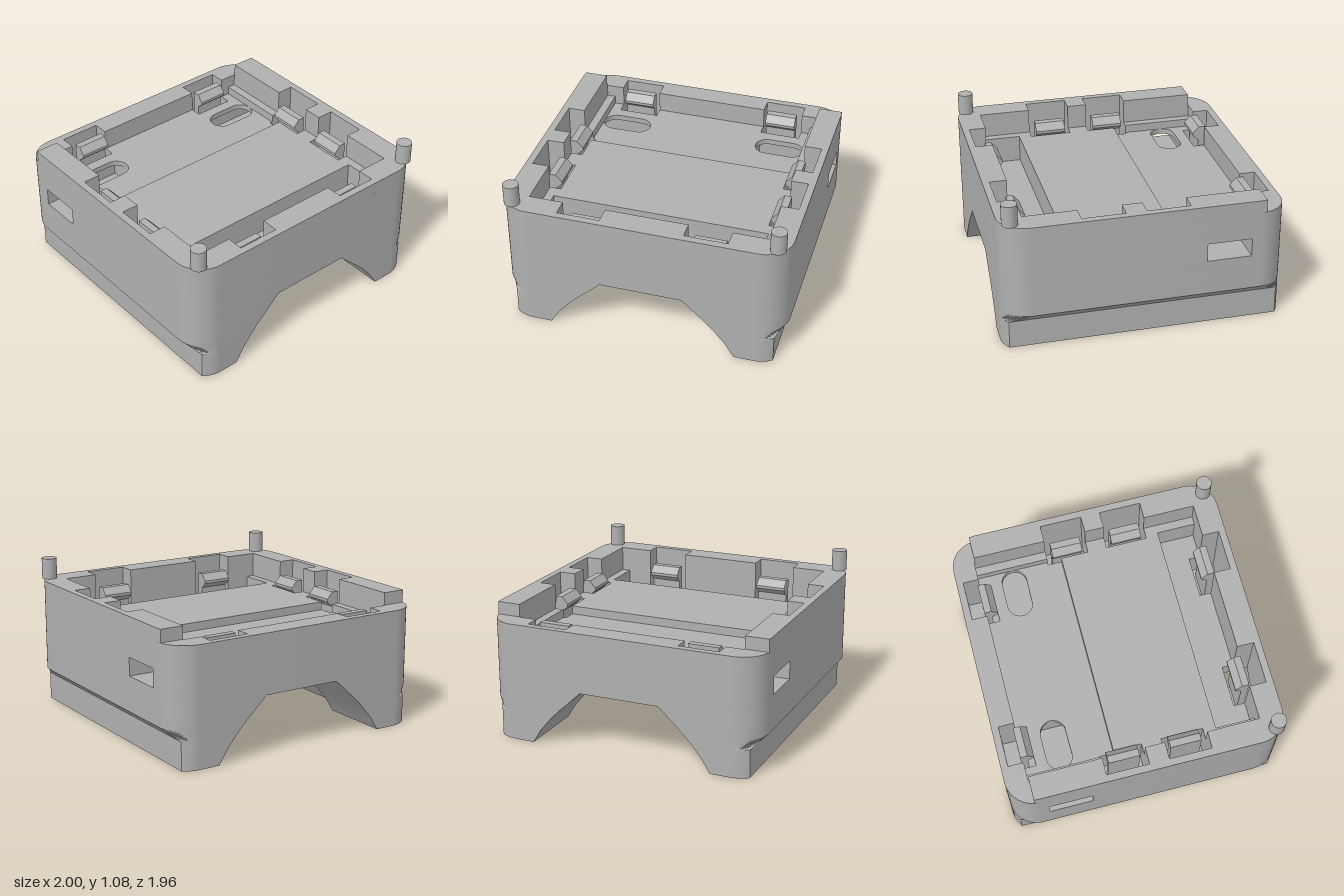
import * as THREE from 'three';
import { toCreasedNormals } from 'three/addons/utils/BufferGeometryUtils.js';

const R = 0.2, ZE = 0.98; // plan corner radius, half depth

export function createModel() {
  const model = new THREE.Group();
  model.name = 'enclosureBase';
  const grey = new THREE.MeshStandardMaterial({ color: 0xb0b0b0 });
  grey.name = 'plasticGrey';

  const add = (name, geo) => {
    const mesh = new THREE.Mesh(geo, grey);
    mesh.name = name;
    model.add(mesh);
    return mesh;
  };

  // plan helpers, points are [x, z]
  const arc = (cz, a0, a1) => Array.from({ length: 13 }, (_, i) => {
    const a = a0 + (a1 - a0) * i / 12;
    return [1 - R + R * Math.cos(a), cz + R * Math.sin(a)];
  });
  const vecs = (pts) => pts.map(([x, z]) => new THREE.Vector2(x, -z));
  const mirror = (half) => half.concat(
    half.filter((p) => p[0] > 0).reverse().map(([x, z]) => [-x, z]));
  const rect = (x0, x1, z0, z1) => [[x0, z0], [x1, z0], [x1, z1], [x0, z1]];
  const both = (pts) => [pts, pts.map(([x, z]) => [-x, z])];
  const slab = (name, y0, y1, outline, holes = []) => {
    const shape = new THREE.Shape(vecs(outline));
    holes.forEach((h) => shape.holes.push(new THREE.Path(vecs(h))));
    const geo = new THREE.ExtrudeGeometry(shape, { depth: y1 - y0, bevelEnabled: false });
    geo.rotateX(-Math.PI / 2).translate(0, y0, 0);
    add(name, toCreasedNormals(geo, 0.5));
  };

  // outlines of the body
  const Q = Math.PI / 2;
  const front = [[0, ZE], ...arc(ZE - R, Q, 0)];
  const back = [...arc(-ZE + R, 0, -Q), [0, -ZE]];
  const plain = mirror([...front, ...back]);
  const ported = mirror([...front, [1, -0.41], [0.41, -0.41], [0.41, -0.72], [1, -0.72], ...back]);

  // pockets and cavities
  const sidePockets = [...both(rect(0.75, 0.95, -0.3, 0)), ...both(rect(0.75, 0.95, 0.14, 0.44))];
  const backPockets = both(rect(0.41, 0.7, -0.93, -0.74));
  const frontPockets = both(rect(0.29, 0.59, 0.73, 0.93));
  const frontTrough = mirror([[0, 0.53], [0.77, 0.53], [0.77, 0.81], [0.59, 0.81],
    [0.59, 0.93], [0.29, 0.93], [0.29, 0.81], [0, 0.81]]);
  const backNotch = [[0.7, -0.82], [0.7, -0.93], [0.41, -0.93], [0.41, -0.82], [0, -0.82]];
  const backFloor = mirror([[0, -0.2], [0.75, -0.2], [0.75, 0], [0.95, 0], [0.95, -0.3],
    [0.77, -0.3], [0.77, -0.82], ...backNotch]);
  const cavityHalf = [[0, 0.81], [0.29, 0.81], [0.29, 0.93], [0.59, 0.93], [0.59, 0.81], [0.83, 0.81],
    [0.83, 0.44], [0.95, 0.44], [0.95, 0.14], [0.83, 0.14], [0.83, 0], [0.95, 0], [0.95, -0.3], [0.83, -0.3]];
  const cavity = mirror([...cavityHalf, [0.83, -0.82], ...backNotch]);
  const openRim = mirror([...front, [1, -0.78], [0.997, -0.815], [0.83, -0.815], ...[...cavityHalf].reverse()]);
  const stadium = [];
  for (let i = 0; i <= 24; i++) {
    const a = -Q + Math.PI * 2 * i / 24;
    stadium.push([(i <= 12 ? 0.68 : 0.5) + 0.09 * Math.cos(a), -0.57 + 0.09 * Math.sin(a)]);
  }
  const slots = both(stadium);
  const clips = [...sidePockets, ...backPockets];

  // stacked body layers
  slab('archRoofLayer', 0.415, 0.52, plain,
    [rect(-0.44, 0.44, -0.47, 0.53), ...clips, ...frontPockets]);
  slab('portFloorLayer', 0.52, 0.555, ported,
    [rect(-0.32, 0.32, -0.47, 0.53), ...clips, ...frontPockets]);
  slab('portLayer', 0.555, 0.65, ported, [...clips, frontTrough]);
  slab('slotLayer', 0.65, 0.69, plain, [...clips, frontTrough, ...slots]);
  slab('floorLayer', 0.69, 0.75, plain,
    [backFloor, frontTrough, ...both(rect(0.75, 0.95, 0.14, 0.44))]);
  slab('wallLayer', 0.75, 0.84, plain, [cavity]);
  slab('rim', 0.84, 0.93, openRim);

  // sloped shoulders of the raised middle of the arch
  for (const s of [1, -1]) {
    const shape = new THREE.Shape([[0.44, 0.415], [0.44, 0.52], [0.32, 0.52], [0.32, 0.555], [0.27, 0.555]]
      .map(([x, y]) => new THREE.Vector2(x * s, y)));
    add('archShoulder', new THREE.ExtrudeGeometry(shape, { depth: 1, bevelEnabled: false })
      .translate(0, 0, -0.47));
  }

  // legs: height, arch x, raised arch x, outer x, clip opening x
  const levels = [
    [0, 0.66, 0.8, 0.925, 0.66], [0.1, 0.598, 0.735, 0.925, 0.598], [0.2, 0.515, 0.655, 0.925, 0.515],
    [0.27, 0.445, 0.59, 1, 0.445], [0.33, 0.38, 0.53, 1, 0.38], [0.33, 0.38, 0.53, 1, 0.59],
    [0.415, 0.29, 0.44, 1, 0.59]];
  const section = ([, xi, xr, xo, xn], s) => {
    const a = Math.acos(Math.min(1, (xo - 1 + R) / R));
    const pts = [[xi, ZE], ...arc(ZE - R, Q, a), ...arc(-ZE + R, -a, -Q), [xi, -ZE],
      [xi, -0.47], [xr, -0.47], [xr, 0.53], [xi, 0.53],
      [xi, 0.73], [xn, 0.73], [xn, 0.93], [xi, 0.93]].map(([x, z]) => [x * s, z]);
    return s < 0 ? pts.reverse() : pts;
  };
  for (const s of [1, -1]) {
    const rings = levels.map((l) => section(l, s));
    const pos = [];
    const put = (k, i) => pos.push(rings[k][i][0], levels[k][0], rings[k][i][1]);
    const n = rings[0].length, top = levels.length - 1;
    for (let k = 0; k < top; k++) {
      for (let i = 0; i < n; i++) {
        const j = (i + 1) % n;
        put(k, i); put(k, j); put(k + 1, j);
        put(k, i); put(k + 1, j); put(k + 1, i);
      }
    }
    for (const [a, b, c] of THREE.ShapeUtils.triangulateShape(vecs(rings[top]), [])) {
      put(top, a); put(top, b); put(top, c);
    }
    for (const [a, b, c] of THREE.ShapeUtils.triangulateShape(vecs(rings[0]), [])) {
      put(0, a); put(0, c); put(0, b);
    }
    const geo = new THREE.BufferGeometry();
    geo.setAttribute('position', new THREE.Float32BufferAttribute(pos, 3));
    geo.computeVertexNormals();
    add('leg', toCreasedNormals(geo, 0.3));
  }

  // snap clips: a stem with a hooked head facing the middle
  const clip = (x, z, angle, base) => {
    const shape = new THREE.Shape([[0, base], [0.05, base], [0.05, 0.72], [0.095, 0.76],
      [0.095, 0.78], [0.05, 0.83], [0, 0.83]].map(([u, y]) => new THREE.Vector2(u, y)));
    const geo = new THREE.ExtrudeGeometry(shape, { depth: 0.22, bevelEnabled: false });
    const mesh = add('snapClip', geo.translate(0, 0, -0.11));
    mesh.position.set(x, 0, z);
    mesh.rotation.y = angle;
  };
  for (const s of [1, -1]) {
    for (const z of [-0.15, 0.29]) clip(s * 0.85, z, s > 0 ? Math.PI : 0, 0.415);
    clip(s * 0.55, -0.835, -Q, 0.415);
    clip(s * 0.438, 0.83, Q, 0.33);
    // locating pins
    add('locatingPin', new THREE.CylinderGeometry(0.054, 0.054, 0.15, 32))
      .position.set(s * 0.918, 1.005, 0.905);
  }
  return model;
}
